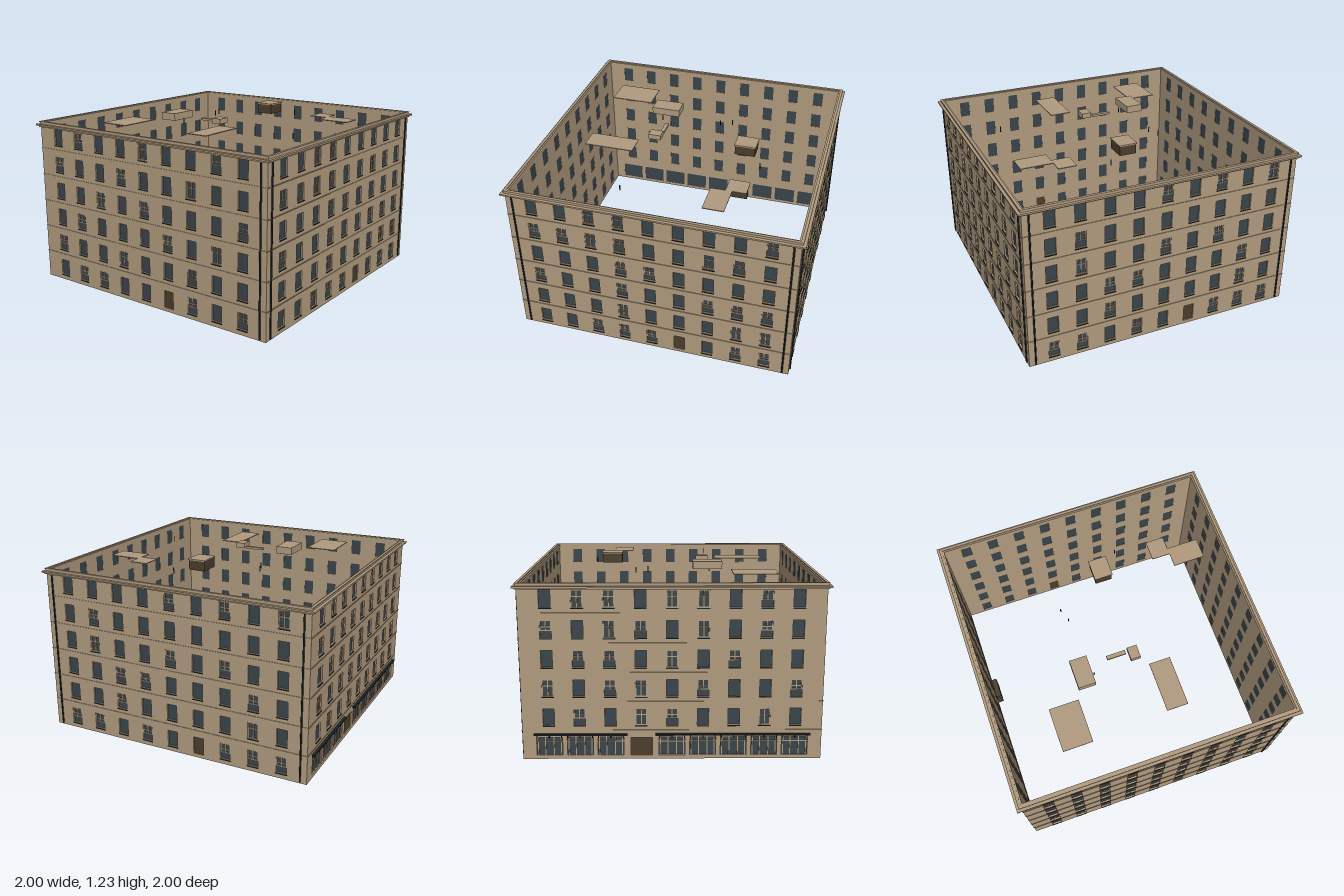
import * as THREE from 'three';
import { mergeGeometries } from 'three/addons/utils/BufferGeometryUtils.js';

const mat = (name, color) => {
  const m = new THREE.MeshStandardMaterial({ color });
  m.name = name;
  return m;
};

// Window rows from the top floor down: P plain, F fully barred, T barred with dark lower sash, D door, S shop bay
const FACADES = {
  front: ['PPFFPPPPT', 'TTFTPPFTP', 'PPPTTPPPP', 'TPPTPPTTT', 'PPPFPPPFF', 'PPTTTDPTT'],
  right: ['PPPPTPTPF', 'PTPPPPPPP', 'PFPPTPTPP', 'PPTTPPPTP', 'PPTPPPPFP', 'TTPTPDTTT'],
  back: ['PFFPFFPTP', 'TPFTPFPTP', 'PTTPFPTPP', 'FPTFPTPPT', 'PTPFTPPFP', 'SSSDSSSSS'],
  left: ['PTPPFPPTP', 'TPPTPPFPP', 'PPFPTPPPT', 'PTPPPTPFP', 'TPPFPPTPP', 'PTTPPDTPT'],
};
const OUT = 0.975, IN = 0.955;   // outer and inner wall faces

export function createModel() {
  const wall = mat('tan stone', 0xb09a7e);
  const glass = mat('dark glass', 0x39444a);
  const iron = mat('black iron', 0x1d2425);
  const brown = mat('dark brown', 0x4a3d2b);
  const model = new THREE.Group();

  const add = (parent, name, geometry, material) => {
    const mesh = new THREE.Mesh(geometry, material);
    mesh.name = name;
    parent.add(mesh);
    return mesh;
  };
  const box = (x0, x1, y0, y1, z0, z1) =>
    new THREE.BoxGeometry(x1 - x0, y1 - y0, z1 - z0)
      .translate((x0 + x1) / 2, (y0 + y1) / 2, (z0 + z1) / 2);
  const rect = (target, x0, x1, y0, y1) =>
    target.moveTo(x0, y0).lineTo(x1, y0).lineTo(x1, y1).lineTo(x0, y1).closePath();

  // Square ring lying flat between two heights
  const ring = (outer, inner, y0, y1) => {
    const shape = rect(new THREE.Shape(), -outer, outer, -outer, outer);
    shape.holes.push(rect(new THREE.Path(), -inner, inner, -inner, inner));
    return new THREE.ExtrudeGeometry(shape, { depth: y1 - y0, bevelEnabled: false })
      .rotateX(-Math.PI / 2).translate(0, y0, 0);
  };

  // One facade, built facing +z
  function facade(name, rows, pipes) {
    const g = new THREE.Group();
    g.name = name + 'Facade';
    const shape = rect(new THREE.Shape(), -OUT, IN, 0, 1.15);
    const panes = [], bars = [], sills = [], doors = [], courses = [], shop = [];

    rows.forEach((row, r) => [...row].forEach((type, c) => {
      const u = -0.8 + 0.2 * c;
      const y0 = 0.04 + 0.195 * (5 - r) - 0.002;
      let w = 0.037, b = y0, t = y0 + 0.113;
      if (type === 'D') { w = name === 'back' ? 0.07 : 0.038; b = 0.025; t = 0.147; }
      if (type === 'S') { w = 0.085; b = 0.025; t = 0.15; }
      shape.holes.push(rect(new THREE.Path(), u - w, u + w, b, t));
      if (type === 'D') {
        doors.push(box(u - w, u + w, b, t, IN + 0.002, OUT - 0.008));
        return;
      }
      panes.push(box(u - w, u + w, b, t, IN + 0.002, OUT - 0.01));
      const bar = (x0, x1, ya, yb) => bars.push(box(x0, x1, ya, yb, OUT - 0.011, OUT - 0.004));
      if (type === 'S') {
        // shop glazing bars and transom
        for (const k of [-0.075, -0.028, 0.028, 0.075]) bar(u + k - 0.003, u + k + 0.003, b, t);
        bar(u - w, u + w, 0.118, 0.123);
        for (const k of [-0.08, 0, 0.08]) shop.push(box(u + k - 0.003, u + k + 0.003, 0.15, 0.168, OUT, 0.99));
        return;
      }
      sills.push(box(u - w - 0.003, u + w + 0.003, b - 0.008, b - 0.003, OUT, OUT + 0.006));
      if (type === 'P') return;
      // sash frame and glazing bars
      const low = type === 'F' ? b : b + 0.045;
      for (const k of [-w + 0.003, 0, w - 0.003]) bar(u + k - 0.003, u + k + 0.003, low, t);
      for (const y of [low, t - 0.005, b + 0.068]) bar(u - w, u + w, y, y + 0.005);
    }));

    // thin string courses between floors
    for (let k = 1; k < 6; k++) {
      const y = 0.195 * k;
      courses.push(box(-OUT, OUT, y, y + 0.006, OUT, OUT + 0.004));
    }
    add(g, 'wall', new THREE.ExtrudeGeometry(shape, { depth: OUT - IN, bevelEnabled: false })
      .translate(0, 0, IN), wall);
    add(g, 'windowPanes', mergeGeometries(panes), glass);
    add(g, 'glazingBars', mergeGeometries(bars), wall);
    add(g, 'stringCourses', mergeGeometries(courses), wall);
    add(g, 'door', mergeGeometries(doors), brown);
    if (sills.length) add(g, 'windowSills', mergeGeometries(sills), iron);
    if (shop.length) {
      // shop canopy, broken at the entrance
      shop.push(box(-0.9, -0.29, 0.166, 0.176, OUT, 0.995), box(-0.11, 0.9, 0.166, 0.176, OUT, 0.995));
      add(g, 'shopCanopy', mergeGeometries(shop), iron);
    }
    for (const u of pipes) {
      add(g, 'drainpipe', new THREE.CylinderGeometry(0.006, 0.006, 1.12, 8)
        .translate(u, 0.57, OUT + 0.004), iron);
    }
    return g;
  }

  const pipes = { front: [-0.93, 0.93], right: [-0.93, 0.93], back: [], left: [0.93] };
  ['front', 'right', 'back', 'left'].forEach((side, i) => {
    const g = facade(side, FACADES[side], pipes[side]);
    g.rotation.y = i * Math.PI / 2;
    model.add(g);
  });

  // Cornice and parapet
  add(model, 'corniceMoulding', ring(0.985, 0.955, 1.13, 1.141), wall);
  add(model, 'corniceLedge', ring(1, 0.953, 1.141, 1.152), wall);
  add(model, 'parapet', ring(0.98, 0.953, 1.152, 1.165), wall);
  add(model, 'parapetCap', ring(0.983, 0.964, 1.165, 1.171), wall);

  // Entrance vestibule behind the back door
  add(model, 'vestibule', box(0.125, 0.275, 0.005, 0.16, -0.953, -0.912), brown);

  // Roof plates
  const plates = [
    [-0.72, -0.415, -0.6, -0.39], [-0.685, -0.335, 0.145, 0.295],
    [0.305, 0.45, 0.575, 0.8], [0.405, 0.545, 0.445, 0.575],
  ];
  for (const [x0, x1, z0, z1] of plates) {
    add(model, 'roofPlate', box(x0, x1, 1.158, 1.164, z0, z1), wall);
  }

  // Roof boxes and duct
  add(model, 'roofHousing', box(-0.355, -0.15, 1.16, 1.212, -0.367, -0.245), wall);
  add(model, 'roofVentBox', box(-0.275, -0.185, 1.16, 1.197, 0.035, 0.105), wall);
  add(model, 'roofDuct', box(-0.215, -0.187, 1.16, 1.175, -0.115, 0.02), wall);
  add(model, 'stairHousing', box(0.362, 0.504, 1.15, 1.218, -0.001, 0.119), brown);
  add(model, 'stairHousingLid', box(0.357, 0.51, 1.218, 1.227, -0.006, 0.124), wall);

  // Slim vent pipes
  for (const [x, z] of [[0.165, -0.27], [0.25, -0.3], [-0.27, -0.23], [0.56, 0.21], [-0.275, 0.71]]) {
    add(model, 'ventPipe', new THREE.CylinderGeometry(0.004, 0.004, 0.04, 6).translate(x, 1.145, z), iron);
  }
  return model;
}
